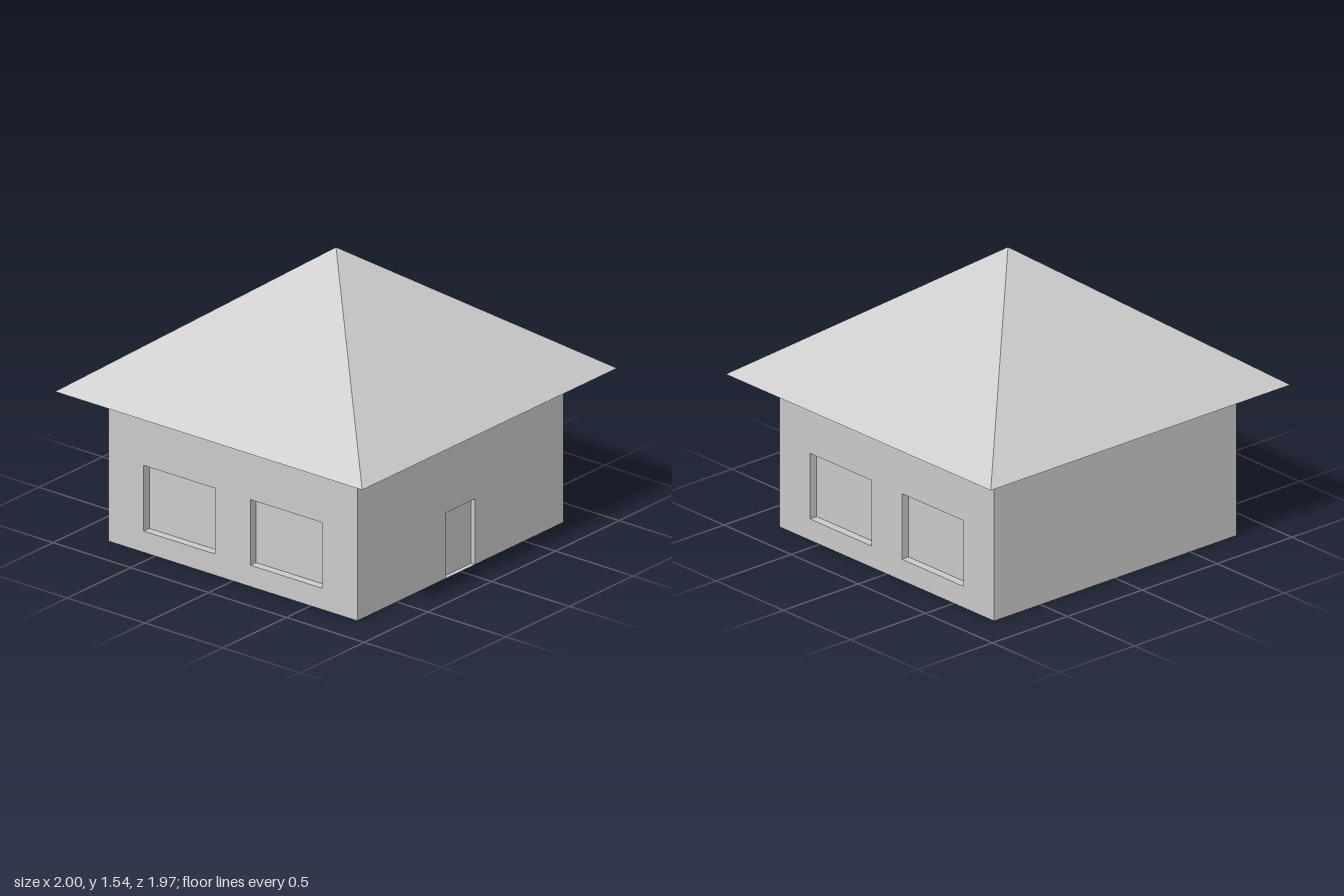
import * as THREE from 'three';

const W = 0.81, D = 0.8, H = 0.82; // body half width, half depth, wall height
const material = new THREE.MeshStandardMaterial({ color: 0xcccccc, flatShading: true });

function mesh(name, geometry) {
  const m = new THREE.Mesh(geometry, material);
  m.name = name;
  return m;
}

function outline(path, points) {
  points.forEach(([x, y], i) => (i ? path.lineTo(x, y) : path.moveTo(x, y)));
  path.closePath();
  return path;
}

// Inside of a shallow box, open towards +z, with its rim at z = 0
function recess(name, x, y, w, h, depth) {
  const g = new THREE.BoxGeometry(w, h, depth);
  const index = Array.from(g.index.array);
  index.splice(24, 6); // drop the +z side
  g.setIndex(index.reverse());
  g.clearGroups();
  g.computeVertexNormals();
  g.translate(x, y + h / 2, -depth / 2);
  return mesh(name, g);
}

// Side wall with two recessed windows
function windowWall() {
  const group = new THREE.Group();
  const shape = outline(new THREE.Shape(), [[-D, 0], [D, 0], [D, H], [-D, H]]);
  const w = 0.46, h = 0.355, y = 0.115;
  for (const x of [-0.343, 0.343]) {
    const l = x - w / 2, r = x + w / 2;
    shape.holes.push(outline(new THREE.Path(), [[l, y], [l, y + h], [r, y + h], [r, y]]));
    group.add(recess('window', x, y, w, h, 0.045));
  }
  group.add(mesh('sideWall', new THREE.ShapeGeometry(shape)));
  return group;
}

// Front wall with a recessed door reaching the ground
function doorWall() {
  const group = new THREE.Group();
  const d = 0.114, h = 0.355;
  const shape = outline(new THREE.Shape(),
    [[-W, 0], [-d, 0], [-d, h], [d, h], [d, 0], [W, 0], [W, H], [-W, H]]);
  group.add(mesh('frontWall', new THREE.ShapeGeometry(shape)));
  group.add(recess('door', 0, 0, 2 * d, h, 0.025));
  return group;
}

export function createModel() {
  const house = new THREE.Group();
  house.name = 'house';

  const front = doorWall();
  front.name = 'front';
  front.position.z = D;
  house.add(front);

  for (const side of [1, -1]) {
    const wall = windowWall();
    wall.name = side > 0 ? 'leftSide' : 'rightSide';
    wall.position.x = side * W;
    wall.rotation.y = side * Math.PI / 2;
    house.add(wall);
  }

  // Plain back wall and floor
  const back = mesh('backWall', new THREE.PlaneGeometry(2 * W, H));
  back.position.set(0, H / 2, -D);
  back.rotation.y = Math.PI;
  const floor = mesh('floor', new THREE.PlaneGeometry(2 * W, 2 * D));
  floor.rotation.x = Math.PI / 2;
  house.add(back, floor);

  // Pyramid roof with flat eaves
  const roofHeight = 0.717;
  const cone = new THREE.ConeGeometry(Math.SQRT2, roofHeight, 4, 1, false, Math.PI / 4);
  cone.scale(1, 1, 0.987);
  const roofGeometry = cone.toNonIndexed();
  roofGeometry.computeVertexNormals();
  const roof = mesh('roof', roofGeometry);
  roof.position.y = H + roofHeight / 2;
  house.add(roof);

  return house;
}
